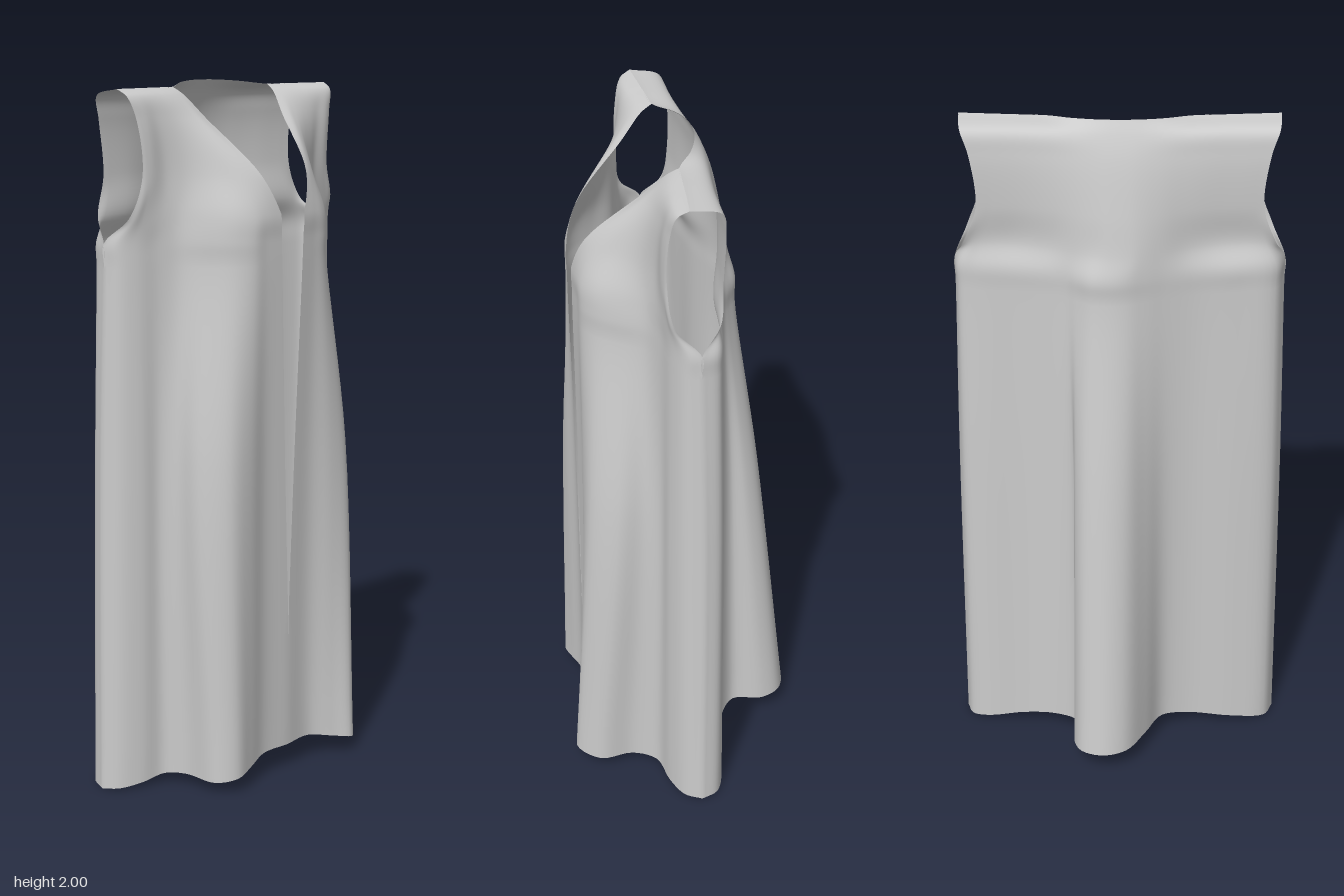
import * as THREE from 'three';
import { mergeGeometries, mergeVertices } from 'three/addons/utils/BufferGeometryUtils.js';

const V = (x, y, z) => new THREE.Vector3(x, y, z);
const { clamp } = THREE.MathUtils;
const STEPS = 8; // vertical divisions between two cross-sections

// Heights of the cross-sections, hem to shoulder (hem height depends on x)
const LEVELS = [0, 0.95, 1.5, 1.57, 1.64, 1.75, 1.9, 1.965, 1.985];
const hemY = x => 0.07 * clamp((0.485 - Math.abs(x)) / 0.385, 0, 1) + 0.004;

// Half width of the front opening: narrow slit below, wide V above
const opening = y => y > 1.64
  ? Math.min(0.2, 0.05 + 0.15 * (y - 1.64) / 0.345)
  : Math.max(0, 0.05 * (y - 0.45) / 1.19);

// Front cross-sections as x, z pairs, side seam to centre
const HEM_LEFT = [.485, 0, .46, .05, .40, .085, .32, .11, .285, .18, .29, .28, .23, .345, .17, .315, .1, .28, 0, .285];
const HEM_RIGHT = [.485, 0, .46, .045, .40, .08, .33, .10, .303, .16, .30, .27, .25, .312, .18, .30, .1, .28, 0, .285];
const FRONT_SKIRT = [
  [.475, 0, .455, .05, .40, .085, .345, .10, .315, .14, .31, .215, .255, .285, .18, .295, .1, .28, .02, .285],
  [.465, .01, .45, .05, .405, .08, .34, .10, .29, .13, .25, .19, .2, .25, .15, .28, .1, .285, .045, .29],
  [.465, .01, .45, .05, .405, .08, .34, .10, .29, .13, .25, .19, .2, .25, .15, .28, .1, .285, .047, .29],
];
const FRONT_YOKE = [
  [.432, .075, .415, .085, .39, .09, .33, .105, .285, .13, .245, .185, .195, .245, .145, .275, .1, .285, .05, .29],
  [.395, .09, .385, .095, .365, .1, .32, .105, .28, .125, .24, .155, .2, .19, .16, .225, .125, .245, .098, .255],
  [.41, .085, .4, .09, .38, .095, .345, .095, .31, .1, .275, .105, .245, .11, .215, .115, .19, .118, .163, .112],
  [.432, .07, .42, .073, .4, .075, .365, .075, .33, .073, .3, .07, .27, .067, .24, .063, .215, .058, .191, .052],
  [.44, .04, .42, .038, .395, .036, .36, .033, .33, .031, .3, .028, .27, .026, .245, .024, .22, .022, .2, .02],
];

// Back cross-sections as x, z pairs, left seam to right seam
const BACK_SKIRT = [
  [.485, 0, .465, -.05, .41, -.075, .3, -.085, .2, -.115, .13, -.17, .14, -.26, .115, -.32, .05, -.345,
    -.02, -.32, -.08, -.23, -.13, -.14, -.21, -.105, -.35, -.09, -.455, -.06, -.485, 0],
  [.475, 0, .455, -.05, .4, -.07, .3, -.08, .2, -.105, .135, -.145, .13, -.19, .1, -.23, .04, -.245,
    -.02, -.23, -.075, -.18, -.13, -.13, -.21, -.1, -.34, -.085, -.445, -.055, -.475, 0],
  [.465, .01, .45, -.04, .4, -.06, .3, -.075, .21, -.095, .15, -.115, .12, -.135, .08, -.16, .03, -.168,
    -.02, -.163, -.07, -.145, -.13, -.12, -.21, -.095, -.33, -.075, -.435, -.05, -.465, .01],
];
const BACK_X = [1, .95, .88, .68, .455, .31, .24, .16, .07, -.07, -.16, -.28, -.455, -.7, -.93, -1];

const row = (pairs, i) => Array.from({ length: pairs.length / 2 }, (_, k) => {
  const x = pairs[2 * k];
  return V(x, i ? LEVELS[i] : hemY(x), pairs[2 * k + 1]);
});

// Upper back: half width, z at the armhole, z at the spine
function yokeRow([halfWidth, side, spine], i) {
  return BACK_X.map(f => {
    const x = f * halfWidth;
    return V(x, LEVELS[i], side + (spine - side) * Math.exp(-((x / 0.19) ** 2)));
  });
}

// Shoulder line with the curved back neckline
const neckRow = () => BACK_X.map(f => {
  const x = f * 0.44, a = Math.abs(x), q = Math.min(1, a / 0.2) ** 2;
  return V(x, 2 - 0.015 * q, a < 0.2 ? -0.055 + 0.075 * q : 0.02 + 0.02 * (a - 0.2) / 0.24);
});

// Smooth cloth panel through a stack of cross-sections
function panel(rows, { mirror = false, flip = false, open = false } = {}) {
  const columns = rows[0].map((_, k) => new THREE.CatmullRomCurve3(rows.map(r => r[k])));
  const nv = (rows.length - 1) * STEPS, nu = (rows[0].length - 1) * 5;
  const positions = [], index = [];
  for (let j = 0; j <= nv; j++) {
    const section = new THREE.CatmullRomCurve3(columns.map(c => c.getPoint(j / nv)));
    const end = section.getPoint(1);
    for (let i = 0; i <= nu; i++) {
      const p = section.getPoint(i / nu);
      if (open) p.x += (opening(end.y) - end.x) * (i / nu) ** 8;
      positions.push(mirror ? -p.x : p.x, p.y, p.z);
      if (i < nu && j < nv) {
        const a = j * (nu + 1) + i, b = a + 1, c = a + nu + 1, d = c + 1;
        if (flip) index.push(a, d, b, a, c, d);
        else index.push(a, b, d, a, d, c);
      }
    }
  }
  const g = new THREE.BufferGeometry();
  g.setAttribute('position', new THREE.Float32BufferAttribute(positions, 3));
  g.setIndex(index);
  return g;
}

export function createModel() {
  const front = hem => [hem, ...FRONT_SKIRT, ...FRONT_YOKE].map(row);
  const [hem, mid, chest] = BACK_SKIRT;
  const back = [
    ...[hem, mid, chest, chest].map(row),
    ...[[.432, -.045, -.152], [.395, -.058, -.133], [.41, -.06, -.1], [.432, -.045, -.075]]
      .map((spec, i) => yokeRow(spec, i + 4)),
    neckRow(),
  ];

  // Front halves and back are welded at the seams so shading runs across them
  const geometry = mergeVertices(mergeGeometries([
    panel(front(HEM_LEFT), { flip: true, open: true }),
    panel(front(HEM_RIGHT), { mirror: true, open: true }),
    panel(back),
  ]), 1e-4);
  geometry.computeVertexNormals();

  const tunic = new THREE.Mesh(geometry, new THREE.MeshStandardMaterial({ color: 0xcccccc, side: THREE.DoubleSide }));
  tunic.name = 'sleevelessTunic';
  const group = new THREE.Group();
  group.name = 'tunic';
  group.add(tunic);
  return group;
}
